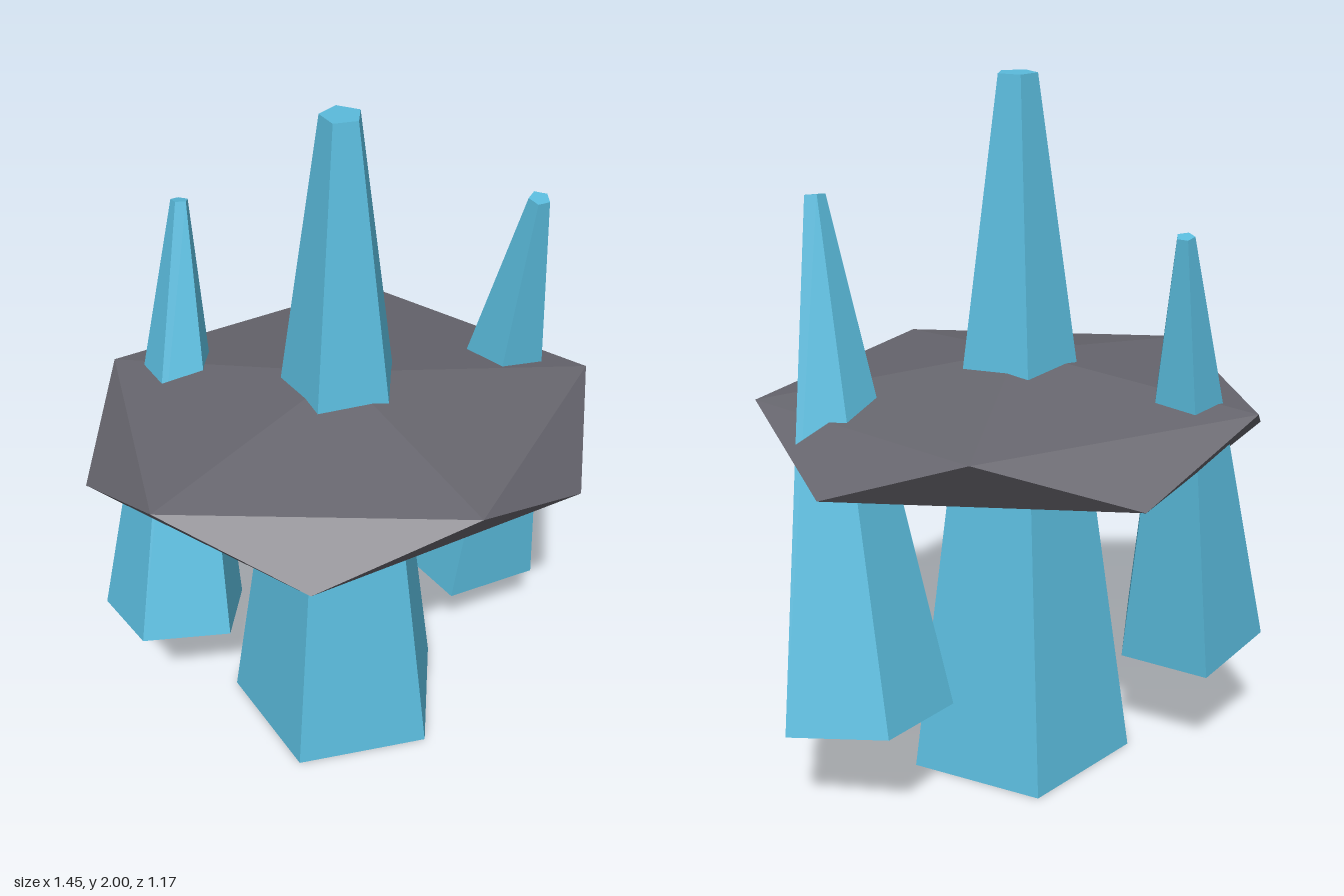
import * as THREE from 'three';

const crystalBlue = new THREE.MeshStandardMaterial({ color: 0x5abbdc, flatShading: true });
crystalBlue.name = 'crystalBlue';
const slateGrey = new THREE.MeshStandardMaterial({ color: 0x67666e, flatShading: true });
slateGrey.name = 'slateGrey';

// Tapered five-sided crystal from base centre to tip centre, one corner turned towards `corner`
function crystal(name, base, tip, corner, baseRadius, tipRadius) {
  const from = new THREE.Vector3(...base);
  const to = new THREE.Vector3(...tip);
  const length = from.distanceTo(to);
  const up = to.clone().sub(from).normalize();
  const side = up.clone().cross(new THREE.Vector3(...corner)).normalize();
  const out = side.clone().cross(up);

  const geometry = new THREE.CylinderGeometry(tipRadius, baseRadius, length, 5);
  geometry.translate(0, length / 2, 0);
  geometry.applyMatrix4(new THREE.Matrix4().makeBasis(side, up, out).setPosition(from));
  const mesh = new THREE.Mesh(geometry, crystalBlue);
  mesh.name = name;
  return mesh;
}

// Flattened twenty-sided stone: two staggered rings of five corners and two apexes
function stoneDisc() {
  const rx = 0.725, rz = 0.615, middle = 1.06, ringHeight = 0.08, apexHeight = 0.18;
  const ringPoint = (k, offset, y) => {
    const a = (k * 2 * Math.PI) / 5 + offset;
    return [rx * Math.cos(a), y, rz * Math.sin(a)];
  };
  const upper = (k) => ringPoint(k, 0, middle + ringHeight);
  const lower = (k) => ringPoint(k, Math.PI / 5, middle - ringHeight);
  const top = [0, middle + apexHeight, 0];
  const bottom = [0, middle - apexHeight, 0];

  const points = [];
  for (let k = 0; k < 5; k++) {
    points.push(...top, ...upper(k + 1), ...upper(k));
    points.push(...upper(k), ...upper(k + 1), ...lower(k));
    points.push(...lower(k), ...upper(k + 1), ...lower(k + 1));
    points.push(...bottom, ...lower(k), ...lower(k + 1));
  }
  const geometry = new THREE.BufferGeometry();
  geometry.setAttribute('position', new THREE.Float32BufferAttribute(points, 3));
  geometry.computeVertexNormals();
  const mesh = new THREE.Mesh(geometry, slateGrey);
  mesh.name = 'stoneDisc';
  return mesh;
}

export function createModel() {
  const group = new THREE.Group();
  group.name = 'crystalCluster';
  group.add(
    stoneDisc(),
    crystal('centralCrystal', [0, 0, 0], [0, 2, 0], [0, 0, -1], 0.34, 0.056),
    crystal('leftCrystal', [0.484, 0.305, -0.282], [0.54, 1.7, -0.007], [-0.048, 0.05, -0.243], 0.25, 0.03),
    crystal('rightCrystal', [-0.491, 0.376, -0.104], [-0.366, 1.63, -0.358], [0, -0.043, -0.211], 0.222, 0.025),
  );
  return group;
}
